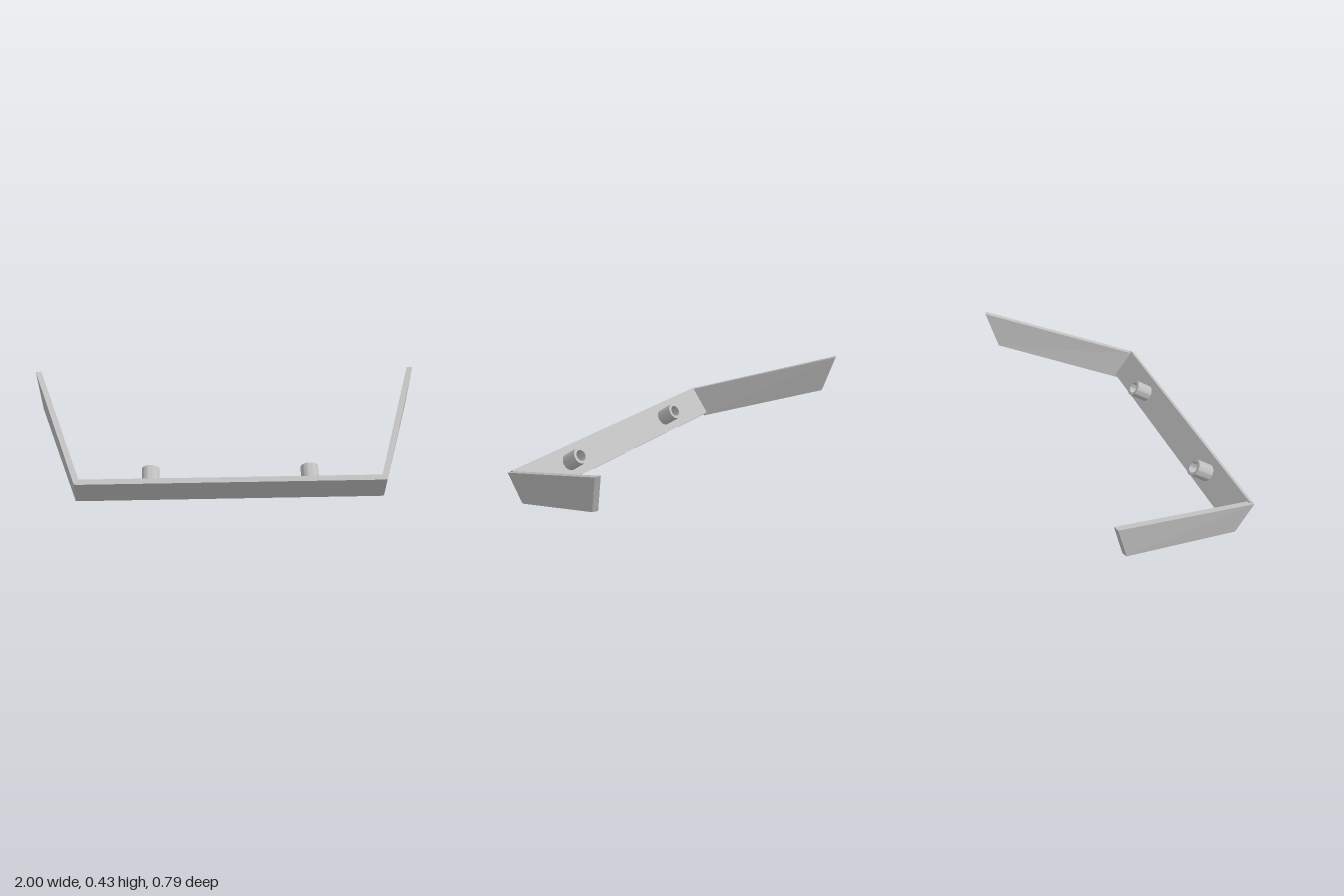
import * as THREE from 'three';
import { toCreasedNormals } from 'three/addons/utils/BufferGeometryUtils.js';

// Six-sided slab from four outer corners and four inner corners (flat faces)
function slab(outer, inner) {
  const pts = [...outer, ...inner];
  const quads = [[0, 1, 2, 3], [7, 6, 5, 4], [0, 4, 5, 1], [1, 5, 6, 2], [2, 6, 7, 3], [3, 7, 4, 0]];
  const pos = [];
  for (const [a, b, c, d] of quads) for (const i of [a, b, c, a, c, d]) pos.push(...pts[i]);
  const g = new THREE.BufferGeometry();
  g.setAttribute('position', new THREE.Float32BufferAttribute(pos, 3));
  g.computeVertexNormals();
  return g;
}

export function createModel() {
  const model = new THREE.Group();
  model.name = 'bumper';
  const grey = new THREE.MeshStandardMaterial({ color: 0xbfbfbf });
  grey.name = 'grey metal';

  const add = (parent, geometry, name) => {
    const mesh = new THREE.Mesh(geometry, grey);
    mesh.name = name;
    parent.add(mesh);
    return mesh;
  };

  // Leaning front plate; local z = 0 is its front face
  const front = new THREE.Group();
  front.name = 'frontAssembly';
  front.position.set(0, 0.069, 0.35);
  front.rotation.x = 0.624;
  model.add(front);
  const thickness = 0.028;
  add(front, new THREE.BoxGeometry(1.47, 0.163, thickness).translate(0, 0, -thickness / 2), 'frontPlate');

  // Hollow mounting tubes on the back of the plate
  const ring = new THREE.Shape().absarc(0, 0, 0.043, 0, Math.PI * 2, false);
  ring.holes.push(new THREE.Path().absarc(0, 0, 0.028, 0, Math.PI * 2, true));
  const tubeGeometry = toCreasedNormals(
    new THREE.ExtrudeGeometry(ring, { depth: 0.1, bevelEnabled: false, curveSegments: 32 }), 0.6);
  for (const [side, name] of [[1, 'leftMountTube'], [-1, 'rightMountTube']]) {
    add(front, tubeGeometry, name).position.set(side * 0.385, 0, -thickness - 0.096);
  }

  // Swept side wings, corners: front bottom, rear bottom, rear top, front top
  const outer = [[0.75, 0.004, 0.302], [0.965, 0.238, -0.336], [1.0, 0.425, -0.388], [0.743, 0.136, 0.398]];
  const inner = [[0.721, 0, 0.293], [0.935, 0.234, -0.343], [0.972, 0.425, -0.396], [0.716, 0.138, 0.389]];
  const mirror = (corners) => corners.map(([x, y, z]) => [-x, y, z]);
  add(model, slab(outer, inner), 'leftWing');
  add(model, slab(mirror(outer).reverse(), mirror(inner).reverse()), 'rightWing');

  return model;
}
